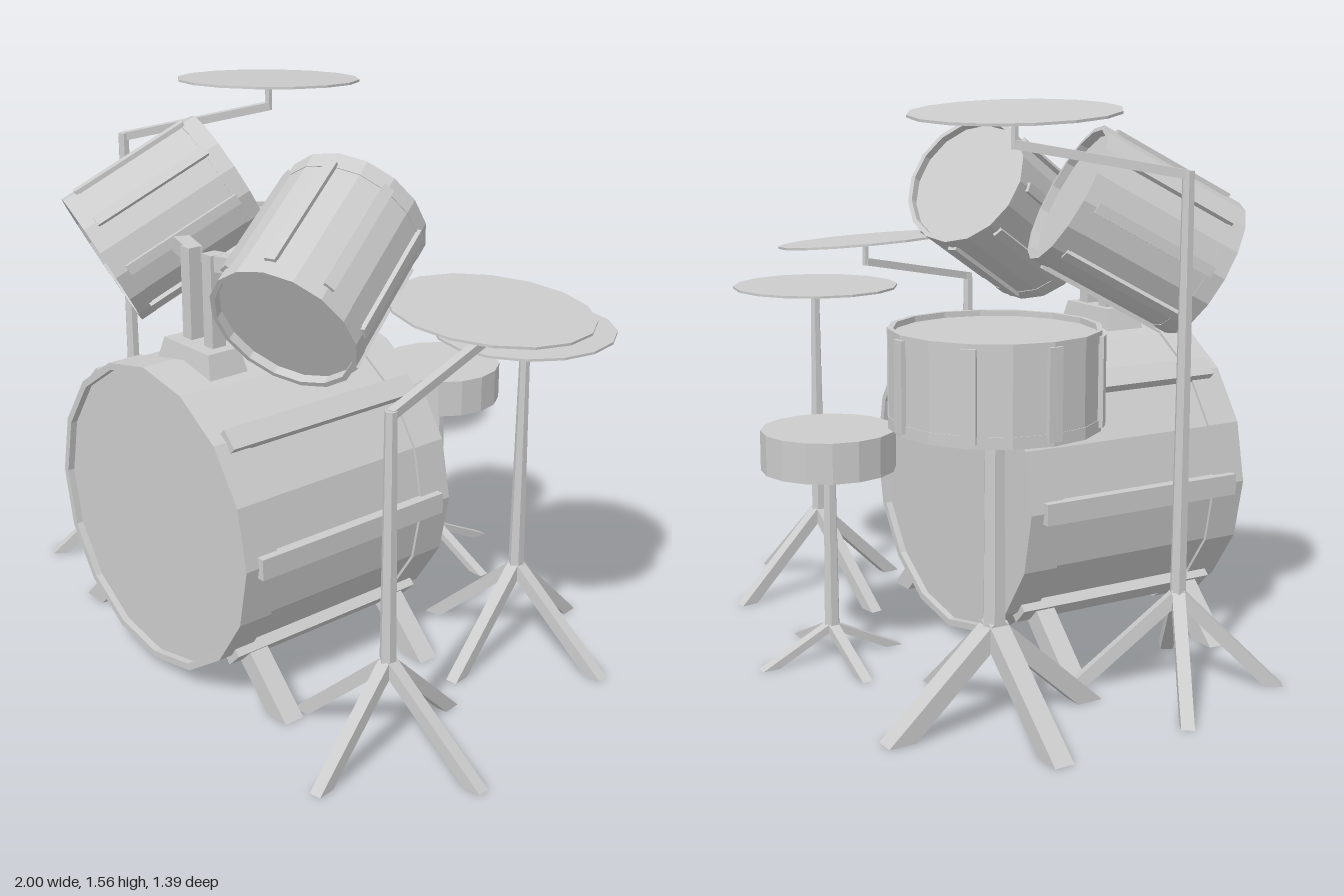
import * as THREE from 'three';

const grey = new THREE.MeshStandardMaterial({ color: 0xcccccc, flatShading: true });
grey.name = 'grey';
const V = (x, y, z) => new THREE.Vector3(x, y, z);
const UP = V(0, 1, 0);

function add(parent, name, geometry) {
  const mesh = new THREE.Mesh(geometry, grey);
  mesh.name = name;
  parent.add(mesh);
  return mesh;
}

function group(parent, name) {
  const g = new THREE.Group();
  g.name = name;
  parent.add(g);
  return g;
}

// Put a y-aligned object between two points
function span(object, a, b) {
  object.position.copy(a).lerp(b, 0.5);
  object.quaternion.setFromUnitVectors(UP, b.clone().sub(a).normalize());
  return object;
}

// Rectangular bar from a to b
function bar(parent, name, a, b, w, t = w) {
  const mesh = add(parent, name, new THREE.BoxGeometry(w, t, a.distanceTo(b)));
  mesh.position.copy(a).lerp(b, 0.5);
  mesh.lookAt(b);
  return mesh;
}

// Sloping bar whose lower end is cut flat on the ground
function groundedBar(parent, name, a, b, w, t) {
  const mesh = bar(parent, name, a, b, w, t);
  const d = b.clone().sub(a).normalize();
  const half = a.distanceTo(b) / 2;
  const pos = mesh.geometry.attributes.position;
  mesh.updateMatrix();
  for (let i = 0; i < pos.count; i++) {
    if (pos.getZ(i) < 0) continue;
    const p = V(pos.getX(i), pos.getY(i), half).applyMatrix4(mesh.matrix);
    pos.setZ(i, half - p.y / d.y);
  }
}

// Tapered hexagonal tube from a to b
function tube(parent, name, a, b, ra, rb = ra) {
  return span(add(parent, name, new THREE.CylinderGeometry(rb, ra, a.distanceTo(b), 6)), a, b);
}

// Drum shell with recessed heads, raised hoops and lugs, along local y
function drum(parent, name, { r, len, rim, recess, hoop, shell, lugs, lugLen, lugW, lugT }) {
  const g = group(parent, name);
  const h = len / 2, ri = r - rim;
  const points = [
    [0, -h + recess], [ri, -h + recess], [ri, -h], [r, -h], [r, -h + hoop], [shell, -h + hoop],
    [shell, h - hoop], [r, h - hoop], [r, h], [ri, h], [ri, h - recess], [0, h - recess],
  ].map(([x, y]) => new THREE.Vector2(x, y));
  add(g, name + 'Shell', new THREE.LatheGeometry(points, 16));
  for (const deg of lugs) {
    const a = THREE.MathUtils.degToRad(deg);
    const lug = add(g, 'lug', new THREE.BoxGeometry(lugT, lugLen, lugW));
    lug.position.set(Math.cos(a) * r, 0, Math.sin(a) * r);
    lug.rotation.y = -a;
  }
  return g;
}

// Four splayed feet, with two alternating reaches
function feet(parent, x, z, hubY, reaches, angle, w, t) {
  for (let i = 0; i < 4; i++) {
    const a = THREE.MathUtils.degToRad(angle + i * 90);
    const reach = reaches[i % 2];
    groundedBar(parent, 'foot', V(x, hubY, z),
      V(x + Math.cos(a) * reach, 0, z + Math.sin(a) * reach), w, t);
  }
}

// Thin disc tilted by its slopes along x and z
function cymbal(parent, c, r, sx, sz) {
  const mesh = add(parent, 'cymbalDisc', new THREE.CylinderGeometry(r, r, 0.007, 16));
  mesh.position.copy(c);
  mesh.quaternion.setFromUnitVectors(UP, V(-sx, 1, -sz).normalize());
}

// Cymbal on a stand with a slanting boom
function boomStand(parent, name, base, poleTop, boomEnd, discY, angle, sx, sz) {
  const g = group(parent, name);
  const [x, z] = base;
  feet(g, x, z, 0.255, [0.287, 0.262], angle, 0.035, 0.035);
  tube(g, 'pole', V(x, 0.23, z), V(x, poleTop, z), 0.023, 0.017);
  bar(g, 'boom', V(x, poleTop - 0.01, z), boomEnd, 0.024);
  tube(g, 'cymbalPost', boomEnd.clone().setY(boomEnd.y - 0.012), V(boomEnd.x, discY, boomEnd.z), 0.011);
  cymbal(g, V(boomEnd.x, discY, boomEnd.z), 0.277, sx, sz);
}

export function createModel() {
  const kit = new THREE.Group();
  kit.name = 'drumKit';
  const eighths = [0, 45, 90, 135, 180, 225, 270, 315];

  // Bass drum lying along z
  const bass = drum(kit, 'bassDrum', {
    r: 0.443, len: 0.727, rim: 0.02, recess: 0.02, hoop: 0.105, shell: 0.435,
    lugs: [0, 45, 135, 180, 225, 315], lugLen: 0.645, lugW: 0.06, lugT: 0.034,
  });
  bass.position.set(-0.05, 0.464, 0.266);
  bass.rotation.x = Math.PI / 2;

  // Bass drum legs
  for (const s of [-1, 1]) for (const z of [0.515, 0.018]) {
    groundedBar(kit, 'bassLeg', V(-0.05 + s * 0.25, 0.2, z), V(-0.05 + s * 0.45, 0, z), 0.06, 0.06);
  }

  // Tom mount: tapered block, two posts and two arms
  const mount = group(kit, 'tomMount');
  const block = add(mount, 'mountBlock', new THREE.CylinderGeometry(0.7071, 0.88, 1, 4).rotateY(Math.PI / 4));
  block.scale.set(0.205, 0.08, 0.105);
  block.position.set(-0.042, 0.899, 0.44);
  for (const s of [-1, 1]) {
    const x = -0.042 + s * 0.049;
    const post = add(mount, 'mountPost', new THREE.BoxGeometry(0.04, 0.3, 0.045));
    post.position.set(x, 1.05, 0.43);
    bar(mount, 'mountArm', V(x - s * 0.015, 1.177, 0.43), V(-0.042 + s * 0.2, 1.177, 0.375), 0.045);
  }

  // Two tilted toms
  for (const s of [-1, 1]) {
    const tom = drum(kit, s > 0 ? 'leftTom' : 'rightTom', {
      r: 0.207, len: 0.445, rim: 0.014, recess: 0.025, hoop: 0.05, shell: 0.205,
      lugs: eighths.map((a) => a + 22.5), lugLen: 0.365, lugW: 0.03, lugT: 0.016,
    });
    span(tom, V(-0.043 + s * 0.418, 1.086, 0.49), V(-0.043 + s * 0.274, 1.308, 0.118));
  }

  // Floor drum on its pedestal
  const floor = group(kit, 'floorDrum');
  drum(floor, 'floorDrumBody', {
    r: 0.265, len: 0.248, rim: 0.014, recess: 0.015, hoop: 0.03, shell: 0.263,
    lugs: eighths, lugLen: 0.225, lugW: 0.037, lugT: 0.014,
  }).position.set(-0.667, 0.899, -0.32);
  tube(floor, 'pole', V(-0.667, 0.22, -0.32), V(-0.667, 0.79, -0.32), 0.032, 0.028);
  feet(floor, -0.667, -0.32, 0.25, [0.287, 0.28], 0, 0.055, 0.05);

  // Hi-hat
  const hat = group(kit, 'hiHat');
  feet(hat, 0.53, -0.24, 0.255, [0.287, 0.27], -8, 0.035, 0.035);
  tube(hat, 'pole', V(0.53, 0.23, -0.24), V(0.53, 0.972, -0.24), 0.023, 0.014);
  cymbal(hat, V(0.525, 0.972, -0.24), 0.253, 0, 0);

  // Boom cymbals
  boomStand(kit, 'leftCymbal', [0.695, 0.408], 0.95, V(0.605, 1.025, -0.025), 1.095, -9, -0.08, 0.05);
  boomStand(kit, 'rightCymbal', [-0.708, 0.232], 1.383, V(-0.485, 1.45, -0.152), 1.532, 32, 0.055, 0.06);

  // Stool
  const stool = group(kit, 'stool');
  const seat = add(stool, 'seat', new THREE.CylinderGeometry(0.187, 0.187, 0.112, 16));
  seat.position.set(-0.05, 0.607, -0.48);
  tube(stool, 'pole', V(-0.05, 0.06, -0.478), V(-0.05, 0.56, -0.478), 0.023, 0.018);
  feet(stool, -0.05, -0.48, 0.095, [0.198, 0.192], 0, 0.03, 0.022);

  return kit;
}
